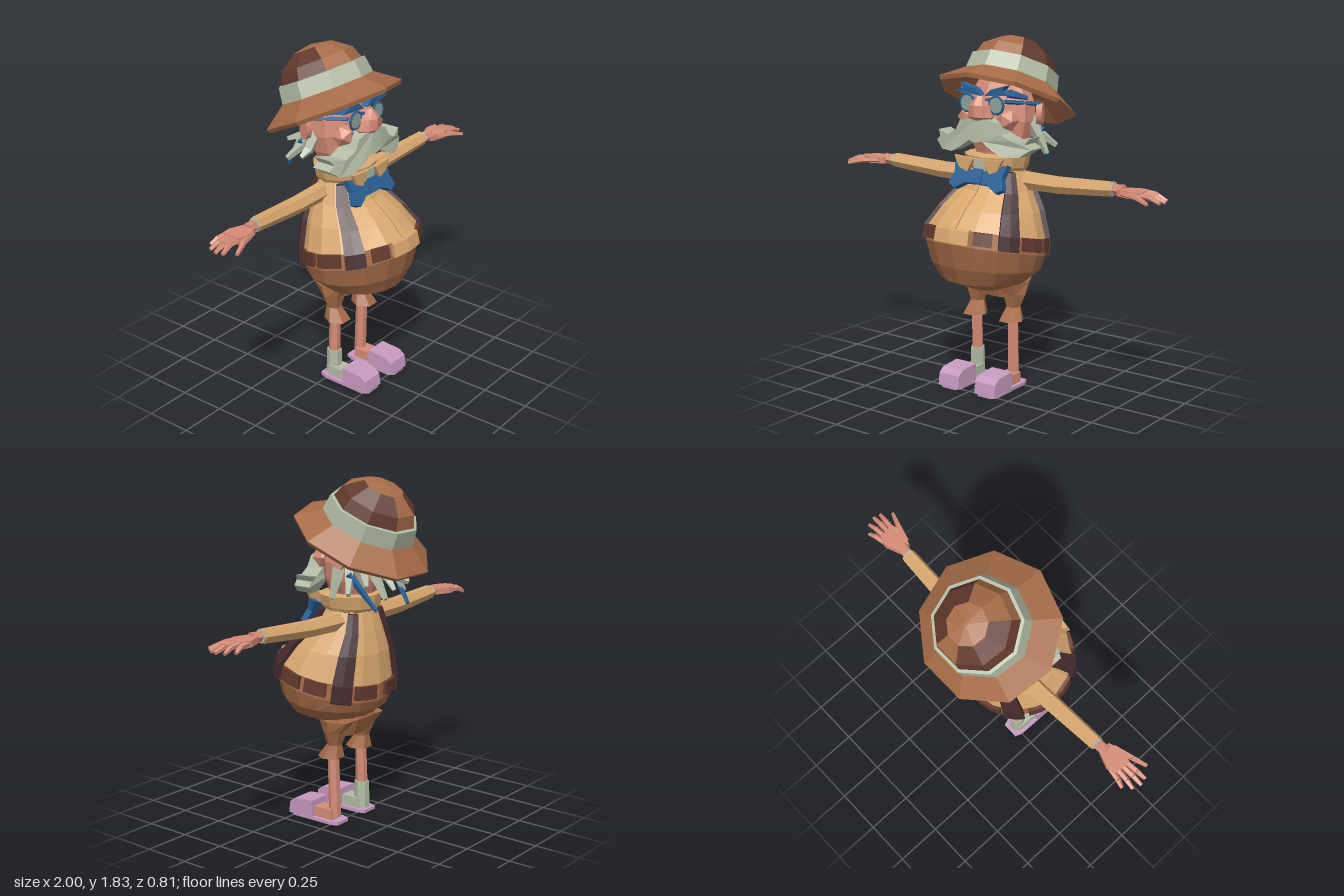
import * as THREE from 'three';

const mat = (name, color) => Object.assign(new THREE.MeshStandardMaterial({ color }), { name });
const V = (x, y, z) => new THREE.Vector3(x, y, z);

export function createModel() {
  const model = new THREE.Group();
  const brown = mat('brown', 0xa66c48), dark = mat('dark brown', 0x633a2e), strap = mat('strap', 0x452c2e);
  const tan = mat('tan', 0xd9a870), skin = mat('skin', 0xd58c77), sage = mat('sage', 0xb2bca5);
  const blue = mat('blue', 0x2a6296), lilac = mat('lilac', 0xc79abf), lens = mat('lens grey', 0x8fa29b);

  const add = (name, geo, m, parent = model) => {
    const mesh = new THREE.Mesh(geo, m);
    mesh.name = name;
    parent.add(mesh);
    return mesh;
  };

  // Faceted skin over closed loops listed bottom to top; pick(ring, side) chooses a material slot
  function loft(loops, pick) {
    const slots = [[], []], n = loops[0].length;
    const tri = (k, ...p) => p.forEach(q => slots[k].push(q.x, q.y, q.z));
    for (let i = 0; i < loops.length - 1; i++) for (let j = 0; j < n; j++) {
      const a = loops[i], b = loops[i + 1], j2 = (j + 1) % n, k = pick ? pick(i, j) : 0;
      tri(k, a[j], a[j2], b[j2]);
      tri(k, a[j], b[j2], b[j]);
    }
    const mid = l => l.reduce((s, p) => s.add(p), V(0, 0, 0)).divideScalar(n);
    const lo = loops[0], hi = loops[loops.length - 1], cl = mid(lo), ch = mid(hi);
    for (let j = 0; j < n; j++) {
      const j2 = (j + 1) % n;
      tri(0, lo[j2], lo[j], cl);
      tri(0, hi[j], hi[j2], ch);
    }
    const g = new THREE.BufferGeometry();
    g.setAttribute('position', new THREE.Float32BufferAttribute([...slots[0], ...slots[1]], 3));
    if (pick) {
      g.addGroup(0, slots[0].length / 3, 0);
      g.addGroup(slots[0].length / 3, slots[1].length / 3, 1);
    }
    g.computeVertexNormals();
    return g;
  }

  // Tilted ellipse: [yFront, yBack, zFront, zBack, halfWidth]
  const at = ([yf, yb, zf, zb, w], a, off = 0, cx = 0) => V(cx + (w + off) * Math.sin(a),
    (yf + yb) / 2 + (yf - yb) / 2 * Math.cos(a), (zf + zb) / 2 + ((zf - zb) / 2 + off) * Math.cos(a));
  const rings = (list, n, cx = 0, turn = 0) =>
    loft(list.map(r => Array.from({ length: n }, (_, i) => at(r, i / n * Math.PI * 2 + turn, 0, cx))));
  const rod = (name, p, q, r0, r1, sides, m) => {
    const g = new THREE.CylinderGeometry(r1, r0, p.distanceTo(q), sides).toNonIndexed();
    g.computeVertexNormals();
    const mesh = add(name, g, m);
    mesh.position.copy(p).lerp(q, 0.5);
    mesh.quaternion.setFromUnitVectors(V(0, 1, 0), q.clone().sub(p).normalize());
    return mesh;
  };
  const box = (name, w, h, d, x, y, z, m) => {
    const mesh = add(name, new THREE.BoxGeometry(w, h, d), m);
    mesh.position.set(x, y, z);
    return mesh;
  };
  const plate = (pts, depth) => new THREE.ExtrudeGeometry(
    new THREE.Shape(pts.map(([x, y]) => new THREE.Vector2(x, y))), { depth, bevelEnabled: false });

  // Round body: trousers, belt, shirt
  const body = [
    [0.54, 0.55, 0.19, -0.04, 0.12], [0.60, 0.58, 0.33, -0.10, 0.225], [0.69, 0.63, 0.37, -0.165, 0.295],
    [0.82, 0.68, 0.40, -0.19, 0.322], [0.90, 0.77, 0.38, -0.195, 0.315],
    [0.98, 0.93, 0.295, -0.185, 0.262], [1.06, 1.04, 0.185, -0.16, 0.20], [1.17, 1.15, 0.12, -0.13, 0.15]];
  add('trousers', rings(body.slice(0, 5), 16), brown);
  add('shirt', rings(body.slice(4), 16), tan);

  // Raised strip that follows the body between ring positions k0..k1 and angles a0..a1 (degrees)
  const bodyAt = (k, a, off) => {
    const i = Math.min(Math.floor(k), body.length - 2);
    return at(body[i], a, off).lerp(at(body[i + 1], a, off), k - i);
  };
  const strip = (name, k0, k1, a0, a1, off, m) => {
    const ks = [k0];
    for (let k = Math.floor(k0) + 1; k < k1; k++) ks.push(k);
    ks.push(k1);
    const A = [a0, a0, (a0 + a1) / 2, a1, a1].map(d => d * Math.PI / 180);
    add(name, loft(ks.map(k => A.map((a, i) => bodyAt(k, a, i % 4 ? off : -0.01)))), m);
  };
  strip('beltBuckle', 3.15, 4.05, -18, 18, 0.022, tan);
  strip('shirtPlacket', 4, 6.9, -3, 3, 0.008, tan);
  for (const s of [-1, 1]) {
    for (const [a, b] of [[22, 39], [69, 94], [100, 122], [150, 173]])
      strip('beltPanel', 3.2, 4, Math.min(s * a, s * b), Math.max(s * a, s * b), 0.015, dark);
    for (const [a, b, k] of [[45, 64, 3.1], [127, 146, 2.9]])
      strip('suspender', k, 6.9, Math.min(s * a, s * b), Math.max(s * a, s * b), 0.024, strap);
  }

  // Collar with wing tips and bow tie
  add('collar', rings([[1.15, 1.14, 0.12, -0.13, 0.15], [1.18, 1.16, 0.15, -0.15, 0.165],
    [1.23, 1.23, 0.155, -0.16, 0.18], [1.24, 1.24, 0.11, -0.13, 0.14]], 12), tan);
  for (const s of [-1, 1])
    add('collarTip', plate([[s * 0.03, 1.22], [s * 0.15, 1.23], [s * 0.12, 1.17], [s * 0.07, 1.15]], 0.02), tan).position.z = 0.15;
  box('shirtFront', 0.07, 0.06, 0.03, 0, 1.19, 0.145, sage);
  const half = [[0, 0.025], [0.06, 0.03], [0.11, 0.06], [0.165, 0.075], [0.15, 0.01], [0.17, -0.055], [0.13, -0.075], [0.07, -0.04], [0, -0.04]];
  const bow = new THREE.Group();
  bow.name = 'bowTie';
  bow.position.set(0, 1.12, 0.14);
  bow.rotation.x = -0.42;
  model.add(bow);
  for (const s of [-1, 1]) add('bowWing', plate(half.map(([x, y]) => [s * x, y]), 0.035), blue, bow);
  add('bowKnot', new THREE.BoxGeometry(0.06, 0.075, 0.05), blue, bow).position.z = 0.02;

  // Legs, one sock, slippers
  add('hips', rings([[0.48, 0.48, 0.07, -0.07, 0.15], [0.57, 0.57, 0.10, -0.11, 0.165], [0.62, 0.62, 0.12, -0.10, 0.16]], 8, 0, Math.PI / 8), brown);
  for (const s of [-1, 1]) {
    const x = s * 0.117;
    add('shortsLeg', rings([[0.36, 0.36, 0.11, -0.035, 0.068], [0.43, 0.43, 0.055, -0.025, 0.04],
      [0.50, 0.50, 0.07, -0.05, 0.07], [0.57, 0.57, 0.10, -0.11, 0.08]], 6, x, Math.PI / 6), brown);
    add('leg', rings([[0.03, 0.03, 0.045, -0.02, 0.03], [0.20, 0.20, 0.05, -0.015, 0.03],
      [0.40, 0.40, 0.05, -0.005, 0.032]], 6, x, Math.PI / 6), skin);
    if (s < 0) add('sock', rings([[0.02, 0.02, 0.06, -0.03, 0.038], [0.165, 0.165, 0.058, -0.026, 0.037]], 6, x, Math.PI / 6), sage);
    box('foot', 0.08, 0.055, 0.13, x, 0.045, 0.07, s < 0 ? sage : skin);
    const sole = add('slipperSole', plate([[x - 0.045, 0.04], [x + 0.045, 0.04], [x + 0.06, 0],
      [x + 0.064, -0.25], [x + 0.04, -0.28], [x - 0.04, -0.28], [x - 0.064, -0.25], [x - 0.06, 0]], 0.018), lilac);
    sole.rotation.x = -Math.PI / 2;
    const toe = add('slipperToe', plate([[-0.28, 0.01], [-0.27, 0.075], [-0.235, 0.1], [-0.12, 0.108], [-0.12, 0.01]], 0.128), lilac);
    toe.rotation.y = Math.PI / 2;
    toe.position.x = x - 0.064;
  }

  // Arms and hands
  for (const s of [-1, 1]) {
    rod('upperSleeve', V(s * 0.1, 1.1, -0.03), V(s * 0.38, 1.1, -0.02), 0.05, 0.045, 6, tan);
    rod('lowerSleeve', V(s * 0.37, 1.1, -0.02), V(s * 0.695, 1.12, -0.008), 0.046, 0.039, 6, tan);
    rod('cuff', V(s * 0.69, 1.12, -0.008), V(s * 0.705, 1.121, -0.008), 0.036, 0.036, 6, sage);
    rod('wrist', V(s * 0.7, 1.12, -0.005), V(s * 0.76, 1.122, 0), 0.028, 0.03, 6, skin);
    const palm = add('palm', plate([[0.74, -0.03], [0.82, -0.06], [0.87, -0.055], [0.88, 0.04], [0.82, 0.06], [0.74, 0.035]]
      .map(([x, z]) => [s * x, z]), 0.034), skin);
    palm.rotation.x = Math.PI / 2;
    palm.position.y = 1.132;
    for (const [x0, z0, x1, z1] of [[0.84, -0.05, 0.94, -0.07], [0.86, -0.025, 0.98, -0.034],
      [0.86, 0.005, 0.995, 0.01], [0.86, 0.03, 0.985, 0.047], [0.77, 0.04, 0.945, 0.1]]) {
      const xm = (x0 + x1) / 2 + 0.01, zm = (z0 + z1) / 2;
      rod('finger', V(s * x0, 1.117, z0), V(s * xm, 1.112, zm), 0.016, 0.015, 5, skin);
      rod('fingertip', V(s * xm, 1.112, zm), V(s * x1, 1.092, z1), 0.015, 0.01, 5, skin);
    }
  }

  // Head, nose, ears
  add('head', rings([[1.19, 1.19, 0.09, -0.12, 0.11], [1.25, 1.25, 0.10, -0.14, 0.14], [1.32, 1.31, 0.12, -0.165, 0.175],
    [1.42, 1.39, 0.12, -0.18, 0.195], [1.53, 1.48, 0.105, -0.18, 0.185], [1.62, 1.56, 0.06, -0.17, 0.14]], 10), skin);
  add('nose', rings([[1.41, 1.41, 0.17, 0.08, 0.05], [1.44, 1.43, 0.205, 0.08, 0.072], [1.50, 1.48, 0.205, 0.08, 0.055],
    [1.545, 1.53, 0.17, 0.07, 0.028]], 8), skin);
  for (const s of [-1, 1]) {
    const cheek = add('cheek', new THREE.IcosahedronGeometry(0.06, 0), skin);
    cheek.position.set(s * 0.12, 1.42, 0.08);
    const ear = add('ear', new THREE.CylinderGeometry(0.055, 0.05, 0.03, 7), skin);
    ear.position.set(s * 0.205, 1.44, -0.09);
    ear.rotation.set(0, s * 0.4, Math.PI / 2);
    ear.scale.set(1.1, 1, 0.8);
  }

  // Moustache, swept back toward its tips
  const lip = [[0, 1.43], [0.06, 1.43], [0.11, 1.415], [0.14, 1.36], [0.2, 1.33], [0.285, 1.345], [0.265, 1.315],
    [0.295, 1.29], [0.24, 1.25], [0.16, 1.25], [0.1, 1.28], [0.04, 1.32], [0, 1.31]];
  for (const s of [-1, 1]) {
    const g = plate(lip.map(([x, y]) => [s * x, y]), 0.1), p = g.attributes.position;
    for (let i = 0; i < p.count; i++)
      p.setZ(i, p.getZ(i) + 0.09 - 0.8 * p.getX(i) ** 2 + 0.12 * (1.35 - p.getY(i)));
    g.computeVertexNormals();
    add('moustache', g, sage);
  }

  // Spectacles and brows
  for (const s of [-1, 1]) {
    const glass = add('lens', new THREE.CylinderGeometry(0.042, 0.042, 0.008, 10), lens);
    glass.position.set(s * 0.09, 1.5, 0.135);
    glass.rotation.x = Math.PI / 2;
    add('lensRim', new THREE.TorusGeometry(0.044, 0.008, 4, 10), blue).position.set(s * 0.09, 1.5, 0.135);
    rod('templeArm', V(s * 0.135, 1.52, 0.12), V(s * 0.2, 1.49, -0.1), 0.012, 0.012, 4, blue);
    const brow = add('brow', plate([[0.01, 1.54], [0.05, 1.575], [0.14, 1.6], [0.12, 1.575], [0.185, 1.555],
      [0.13, 1.55], [0.06, 1.545]].map(([x, y]) => [s * x, y]), 0.045), blue);
    brow.position.z = 0.085;
    rod('browTuft', V(s * 0.14, 1.56, 0.1), V(s * 0.185, 1.53, 0), 0.025, 0.012, 4, blue);
  }
  box('bridge', 0.1, 0.012, 0.016, 0, 1.525, 0.14, blue);

  // Hair fringe around the back of the head
  for (let i = 0; i < 9; i++) {
    const a = (104 + i * 19) * Math.PI / 180, r = 0.24 + (i % 2) * 0.035, y = 1.24 + (i % 3) * 0.03;
    const p = (rad, h) => V(rad * Math.sin(a), h, rad * Math.cos(a) - 0.02);
    rod('hairRoot', p(0.16, 1.42), p(0.215, 1.32), 0.035, 0.026, 4, sage);
    rod('hairTip', p(0.215, 1.33), p(r + 0.02, y), 0.026, 0.014, 4, sage);
  }
  for (const s of [-1, 1])
    rod('glassesCord', V(s * 0.18, 1.36, -0.13), V(s * 0.13, 1.18, -0.27), 0.022, 0.01, 4, blue);

  // Nine-sided hat, tipped back
  const hat = new THREE.Group();
  hat.name = 'hat';
  hat.position.set(0, 1.51, -0.08);
  hat.rotation.x = -0.45;
  model.add(hat);
  const hatLoops = list => list.map(([r, y]) => Array.from({ length: 9 }, (_, i) =>
    V(r * Math.sin(i / 9 * Math.PI * 2), y, r * Math.cos(i / 9 * Math.PI * 2))));
  add('brim', loft(hatLoops([[0.225, 0.065], [0.36, -0.02], [0.372, 0], [0.24, 0.095]])), brown, hat);
  add('hatBand', loft(hatLoops([[0.25, 0.08], [0.236, 0.175], [0.215, 0.178]])), sage, hat);
  add('crown', loft(hatLoops([[0.222, 0.17], [0.195, 0.24], [0.105, 0.305], [0.01, 0.322]]),
    (i, j) => (i < 2 && [1, 2, 3, 5, 6, 7].includes(j) ? 1 : 0)), [brown, dark], hat);

  return model;
}
